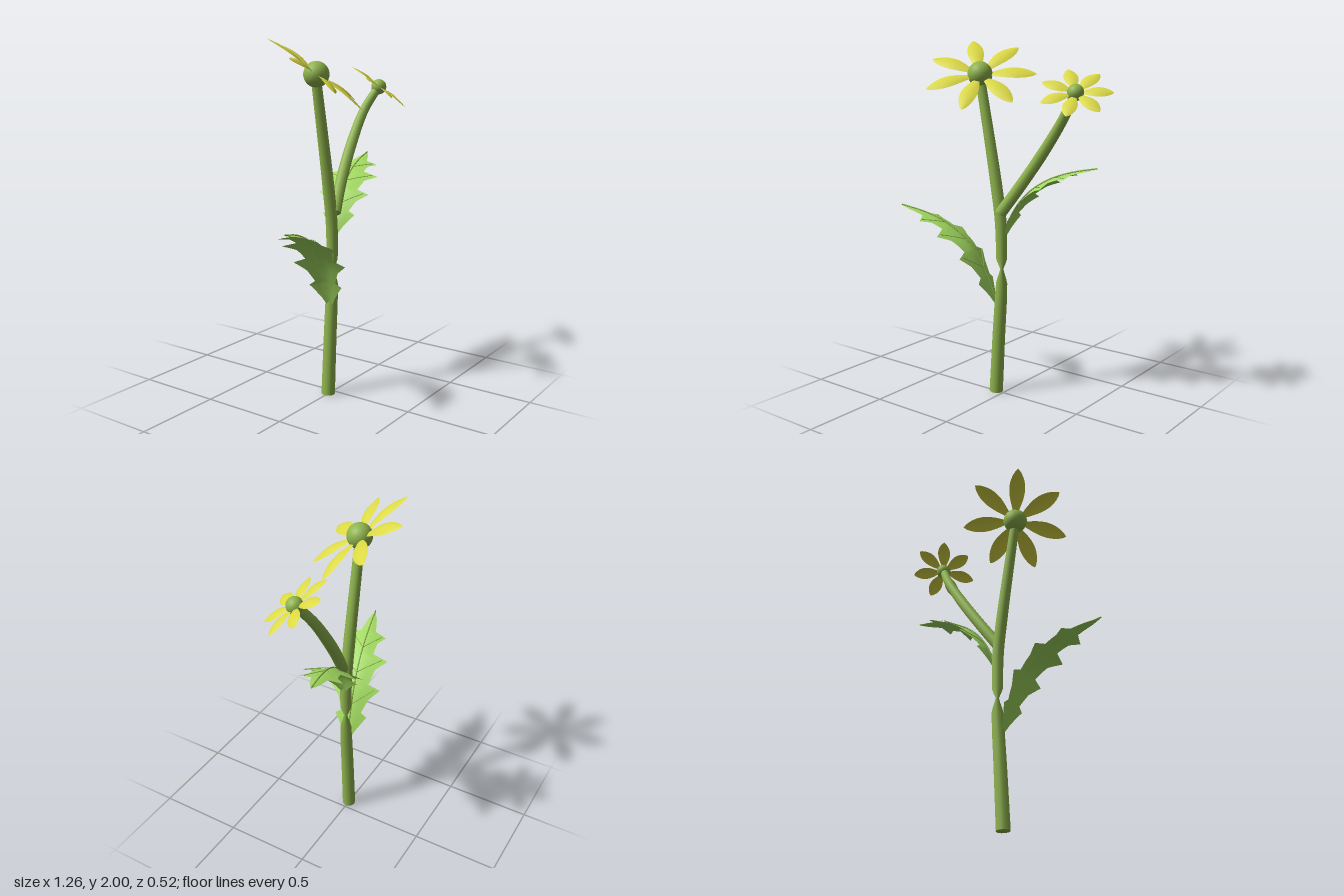
import * as THREE from 'three';

const V = (x, y, z) => new THREE.Vector3(x, y, z);

// Piecewise linear lookup in a list of [key, value] pairs
function lookup(table, k) {
  for (let i = 1; i < table.length; i++) {
    const [a, va] = table[i - 1], [b, vb] = table[i];
    if (k <= b) return va + (vb - va) * Math.max(0, (k - a) / (b - a));
  }
  return table[table.length - 1][1];
}

// Plane grid whose vertices are placed by place(u in -1..1, t in 0..1)
function sheet(across, along, place) {
  const geo = new THREE.PlaneGeometry(2, 1, across, along);
  const pos = geo.attributes.position;
  for (let i = 0; i < pos.count; i++) {
    const p = place(pos.getX(i), pos.getY(i) + 0.5);
    pos.setXYZ(i, p.x, p.y, p.z);
  }
  geo.computeVertexNormals();
  return geo;
}

// Tube along a curve with a radius table keyed by height, plus a base cap
function stalk(name, points, radii, material) {
  const group = new THREE.Group();
  group.name = name;
  const curve = new THREE.CatmullRomCurve3(points);
  const rings = 64, sides = 12;
  const geo = new THREE.TubeGeometry(curve, rings, 1, sides);
  const pos = geo.attributes.position;
  const v = V(0, 0, 0);
  for (let i = 0; i <= rings; i++) {
    const c = curve.getPointAt(i / rings);
    const r = lookup(radii, c.y);
    for (let j = 0; j <= sides; j++) {
      const k = i * (sides + 1) + j;
      v.fromBufferAttribute(pos, k).sub(c).multiplyScalar(r).add(c);
      pos.setXYZ(k, v.x, v.y, v.z);
    }
  }
  const tube = new THREE.Mesh(geo, material);
  tube.name = name + 'Tube';
  const cap = new THREE.Mesh(new THREE.CircleGeometry(lookup(radii, points[0].y), sides), material);
  cap.name = name + 'Cap';
  cap.position.copy(points[0]);
  cap.lookAt(points[0].clone().sub(curve.getTangentAt(0)));
  group.add(tube, cap);
  return group;
}

// Toothed leaf half-width along the midrib
const LEAF = [[0, 0.008], [0.08, 0.04], [0.18, 0.095], [0.21, 0.06], [0.3, 0.09], [0.38, 0.15],
  [0.41, 0.08], [0.52, 0.1], [0.6, 0.16], [0.63, 0.07], [0.72, 0.075], [0.78, 0.115],
  [0.81, 0.045], [0.92, 0.026], [1, 0]];

function leaf(name, points, blade, vein) {
  const group = new THREE.Group();
  group.name = name;
  const curve = new THREE.CatmullRomCurve3(points);
  const heading = points[points.length - 1].clone().sub(points[0]).setY(0).normalize();
  const lateral = V(-heading.z, 0, heading.x);
  // Point on the blade: the sides droop from the midrib, lift raises it off the upper face
  const spot = (t, offset, lift = 0) => {
    const normal = lateral.clone().cross(curve.getTangentAt(t));
    return curve.getPointAt(t).addScaledVector(lateral, offset)
      .addScaledVector(normal, lift - 0.2 * Math.abs(offset));
  };

  const steps = 3, spans = LEAF.length - 1;
  const geo = sheet(4, spans * steps, (u, s) => {
    const f = Math.min(s * spans, spans - 1e-6), i = Math.floor(f);
    const t = THREE.MathUtils.clamp(LEAF[i][0] + (LEAF[i + 1][0] - LEAF[i][0]) * (f - i), 0, 1);
    return spot(t, u * lookup(LEAF, t));
  });
  const body = new THREE.Mesh(geo, blade);
  body.name = name + 'Blade';
  group.add(body);

  // Raised midrib and side veins on the upper face
  const addVein = (path, r) => {
    const mesh = new THREE.Mesh(
      new THREE.TubeGeometry(new THREE.CatmullRomCurve3(path), 16, r, 5), vein);
    mesh.name = name + 'Vein';
    group.add(mesh);
  };
  addVein([0, 0.2, 0.4, 0.6, 0.8, 1].map(t => spot(t, 0, 0.004)), 0.004);
  for (const t of [0.38, 0.6, 0.78]) {
    for (const side of [-1, 1]) {
      const w = lookup(LEAF, t) * 0.8 * side;
      addVein([0, 0.5, 1].map(k => spot(t - 0.12 * (1 - k), w * k, 0.003)), 0.002);
    }
  }
  return group;
}

// Seven-petalled flower, tilted towards the front
function flower(name, centre, reach, halfWidth, core, petalMat, coreMat) {
  const group = new THREE.Group();
  group.name = name;
  const up = V(0.39, 1, 0.63).normalize();
  const out = V(0.06, 0.14, -0.26).projectOnPlane(up).normalize();
  const side = up.clone().cross(out);
  group.quaternion.setFromRotationMatrix(new THREE.Matrix4().makeBasis(side, up, out));
  group.position.copy(centre);

  const start = core * 0.7;
  const geo = sheet(6, 16, (u, t) => {
    const bulge = Math.max(0, Math.sin(Math.PI * Math.pow(0.1 + 0.9 * t, 1.3)));
    const w = halfWidth * Math.pow(bulge, 0.75);
    const lift = 0.06 * reach * Math.sin(Math.PI * t);
    return V(u * w, lift - 0.2 * w * u * u, start + (reach - start) * t);
  });
  for (let i = 0; i < 7; i++) {
    const petal = new THREE.Mesh(geo, petalMat);
    petal.name = 'petal';
    petal.rotation.y = (i / 7) * Math.PI * 2;
    group.add(petal);
  }
  const ball = new THREE.Mesh(new THREE.SphereGeometry(core, 24, 16), coreMat);
  ball.name = 'flowerCentre';
  group.add(ball);
  return group;
}

export function createModel() {
  const mat = (name, color, side = THREE.FrontSide) => {
    const m = new THREE.MeshStandardMaterial({ color, side });
    m.name = name;
    return m;
  };
  const stemGreen = mat('stem green', 0x8fb44d);
  const leafGreen = mat('leaf green', 0xa2da60, THREE.DoubleSide);
  const yellow = mat('petal yellow', 0xdad843, THREE.DoubleSide);

  const model = new THREE.Group();
  model.name = 'floweringPlant';

  // Main stem with a pinched joint, and the side branch
  model.add(stalk('mainStem',
    [V(-0.05, 0.003, 0), V(-0.03, 0.35, 0), V(-0.01, 0.66, 0), V(-0.01, 0.8, 0),
      V(-0.016, 1.0, 0), V(-0.045, 1.2, 0), V(-0.158, 1.8, 0)],
    [[0, 0.039], [0.55, 0.035], [0.66, 0.032], [0.735, 0.008], [0.79, 0.031], [0.95, 0.033],
      [1.2, 0.033], [1.8, 0.027]], stemGreen));
  model.add(stalk('sideBranch',
    [V(-0.005, 1.06, 0.015), V(0.1, 1.21, -0.018), V(0.24, 1.41, -0.043),
      V(0.37, 1.6, -0.04), V(0.46, 1.73, 0)],
    [[1.06, 0.033], [1.4, 0.031], [1.73, 0.024]], stemGreen));

  // Leaves
  model.add(leaf('rightLeaf',
    [V(-0.035, 0.52, 0.005), V(-0.1, 0.69, 0.02), V(-0.2, 0.86, 0.045), V(-0.34, 0.97, 0.08),
      V(-0.49, 1.03, 0.115), V(-0.63, 1.06, 0.15)], leafGreen, stemGreen));
  model.add(leaf('leftLeaf',
    [V(0.01, 0.92, 0), V(0.06, 1.06, -0.01), V(0.14, 1.17, -0.03), V(0.25, 1.25, -0.055),
      V(0.38, 1.3, -0.085), V(0.53, 1.33, -0.12)], leafGreen, stemGreen));

  // Flowers
  model.add(flower('largeFlower', V(-0.157, 1.817, 0.002), 0.314, 0.046, 0.069, yellow, stemGreen));
  model.add(flower('smallFlower', V(0.462, 1.73, 0), 0.195, 0.038, 0.044, yellow, stemGreen));
  return model;
}
